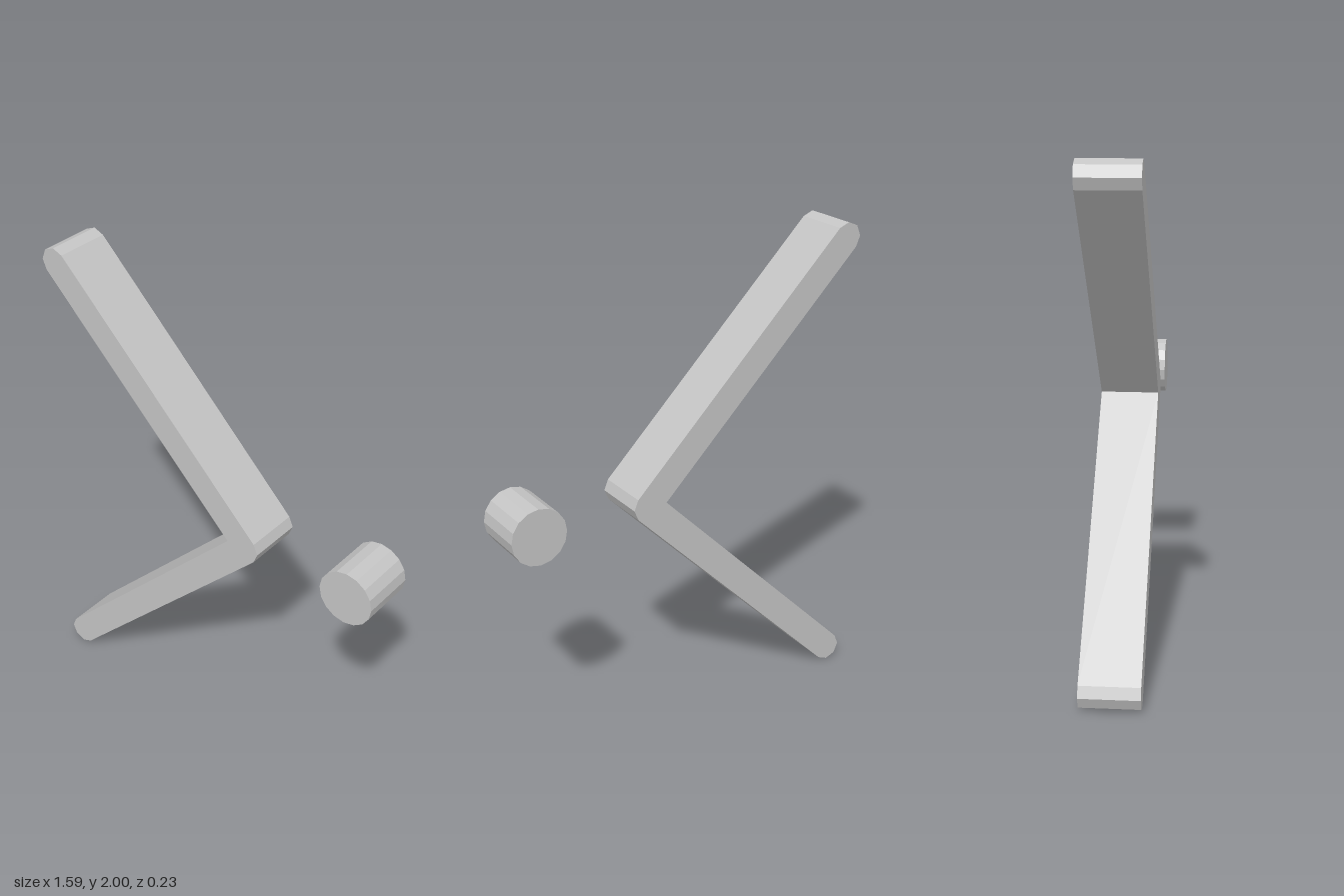
import * as THREE from 'three';

const DEPTH = 0.233;

// Flat plate of the given outline, centred on z = 0
function plate(name, points, material) {
  const shape = new THREE.Shape(points);
  const geometry = new THREE.ExtrudeGeometry(shape, { depth: DEPTH, bevelEnabled: false });
  geometry.translate(0, 0, -DEPTH / 2);
  const mesh = new THREE.Mesh(geometry, material);
  mesh.name = name;
  return mesh;
}

// Points on a circle, angles in degrees
function arc(cx, cy, r, from, to, step) {
  const points = [];
  for (let a = from; a <= to; a += step) {
    const t = THREE.MathUtils.degToRad(a);
    points.push(new THREE.Vector2(cx + r * Math.cos(t), cy + r * Math.sin(t)));
  }
  return points;
}

export function createModel() {
  const group = new THREE.Group();
  const grey = new THREE.MeshStandardMaterial({ color: 0xc4c4c4, flatShading: true });
  grey.name = 'light grey';

  // Bent bar with rounded ends and a rounded outer corner
  const r = 0.061;
  const outline = [
    ...arc(0.202, 1, r, -45, 45, 45),
    ...arc(-0.737, 1.939, r, 45, 225, 45),
    new THREE.Vector2(0.202 - r * Math.SQRT2, 1),
    ...arc(-0.737, 0.061, r, 135, 315, 45),
  ];
  group.add(plate('chevron', outline, grey));

  // Separate round dot beside the point
  group.add(plate('dot', arc(0.677, 1, 0.117, 0, 337.5, 22.5), grey));
  return group;
}
